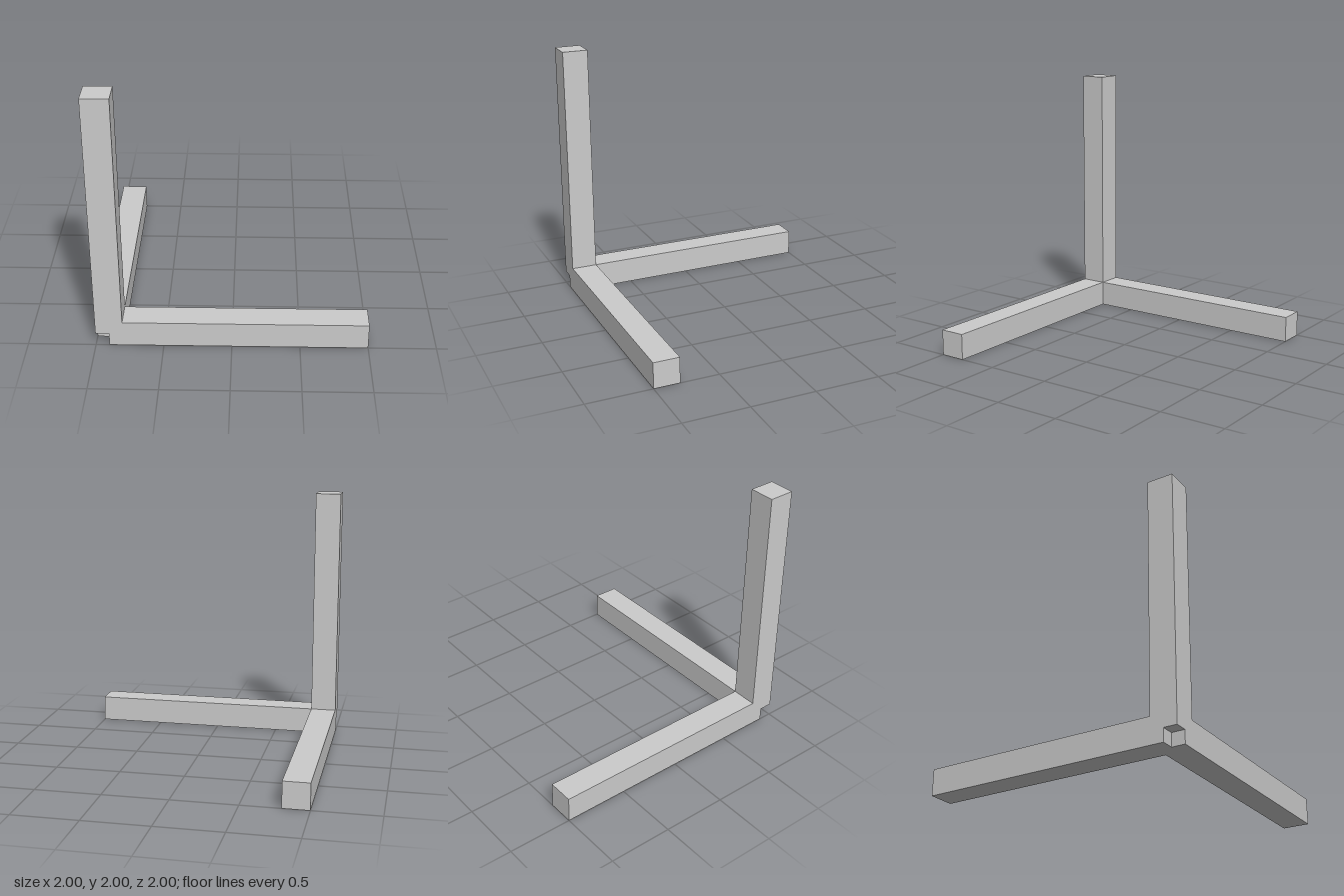
import * as THREE from 'three';

const THICK = 0.2;
const LENGTH = 1.9;

export function createModel() {
  const group = new THREE.Group();
  const material = new THREE.MeshStandardMaterial({ color: 0xcccccc, flatShading: true });

  // Three equal square bars start at the shared corner and run along +x, +y and -z.
  // Each starts half a thickness in, leaving a small cubic notch at the outer corner.
  const origin = new THREE.Vector3(-0.9, 0.1, 0.9);
  const bars = [
    ['sidewaysBar', new THREE.Vector3(1, 0, 0)],
    ['uprightBar', new THREE.Vector3(0, 1, 0)],
    ['backwardBar', new THREE.Vector3(0, 0, -1)],
  ];

  for (const [name, dir] of bars) {
    const size = (d) => (d ? LENGTH : THICK);
    const bar = new THREE.Mesh(new THREE.BoxGeometry(size(dir.x), size(dir.y), size(dir.z)), material);
    bar.name = name;
    bar.position.copy(origin).addScaledVector(dir, LENGTH / 2);
    group.add(bar);
  }
  return group;
}
